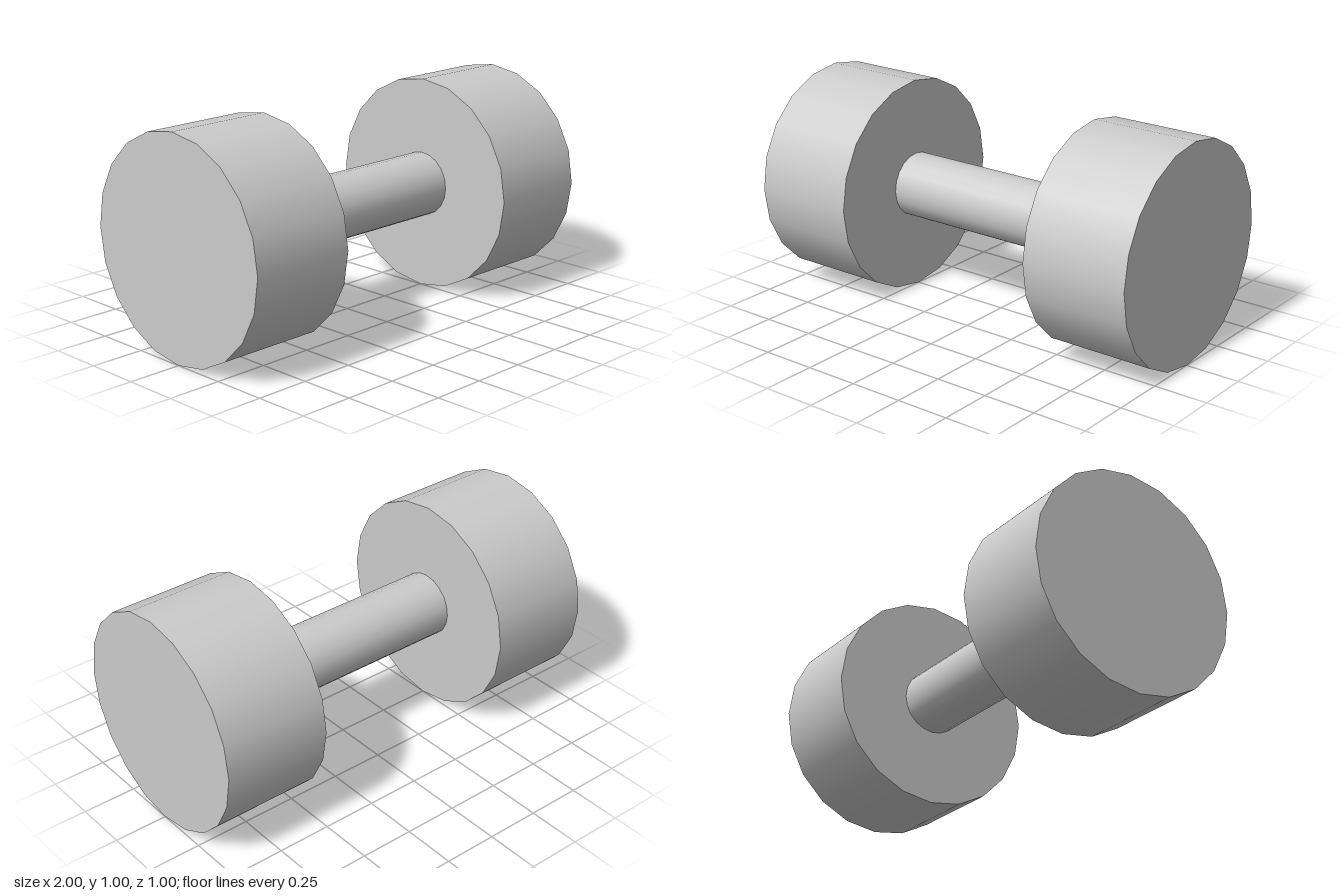
import * as THREE from 'three';

const SIDES = 20;

export function createModel() {
  const model = new THREE.Group();
  model.name = 'dumbbell';
  const material = new THREE.MeshStandardMaterial({ color: 0xcccccc });

  // Cylinder lying along x, its axis at half the weight's height
  function addCylinder(name, radius, length, x) {
    const geometry = new THREE.CylinderGeometry(radius, radius, length, SIDES);
    geometry.rotateZ(-Math.PI / 2);
    const mesh = new THREE.Mesh(geometry, material);
    mesh.name = name;
    mesh.position.set(x, 0.5, 0);
    model.add(mesh);
  }

  // Grip bar between the weights
  addCylinder('handle', 0.15, 1, 0);

  // One weight at each end
  addCylinder('leftWeight', 0.5, 0.5, 0.75);
  addCylinder('rightWeight', 0.5, 0.5, -0.75);

  return model;
}
